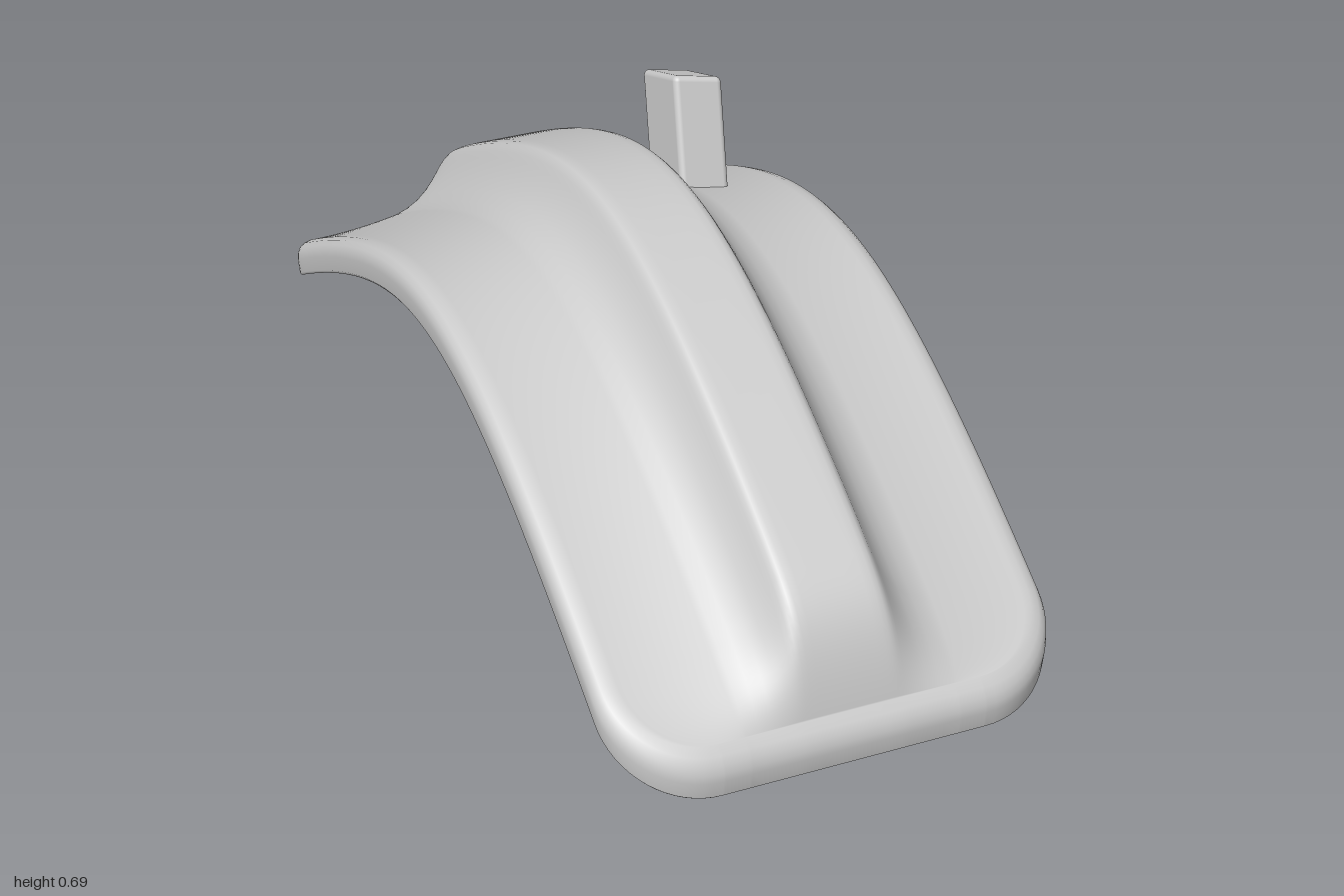
import * as THREE from 'three';
import { RoundedBoxGeometry } from 'three/addons/geometries/RoundedBoxGeometry.js';

const material = new THREE.MeshStandardMaterial({ color: 0xcccccc, side: THREE.DoubleSide });

// Ridge cross-section: [distance from the middle, share of the ridge height]
const RIDGE = [
  [0, 1], [0.03, 1], [0.06, 1], [0.075, 0.995], [0.085, 0.975], [0.092, 0.93], [0.098, 0.87],
  [0.105, 0.78], [0.115, 0.655], [0.13, 0.5], [0.15, 0.345], [0.175, 0.225], [0.2, 0.15],
];
const FLANGE = 14;   // columns from the ridge foot to the side edge
const STRAIGHT = 60; // rows along the straight sides
const CORNER = 16;   // rows in each rounded corner
const HALF = RIDGE.length - 1 + FLANGE;
const COLS = 2 * HALF;
const ROWS = STRAIGHT + 2 * CORNER;

// Height of the lower rim along the arch
const arch = (z) => 0.415 + 0.383 - Math.sqrt(0.383 ** 2 + (0.7 * z) ** 2);

// Point of a layer: outline drawn in by inset, lifted above the rim by lift
function layerPoint(i, j, { inset, lift, scale = 1, ridge = 0.155 }) {
  const cornerX = 0.18, cornerZ = 0.16;
  const row = j - ROWS / 2, side = Math.sign(row), n = Math.abs(row);
  const angle = Math.max(0, (n - STRAIGHT / 2) / CORNER) * Math.PI / 2;
  const z = (1 - cornerZ) * Math.min(1, n / (STRAIGHT / 2)) + (cornerZ - inset) * Math.sin(angle);
  const width = 0.435 - cornerX + (cornerX - inset) * Math.cos(angle);

  const col = i - HALF, k = Math.abs(col), last = RIDGE.length - 1;
  let x, h;
  if (k <= last) {
    x = RIDGE[k][0] * scale;
    h = RIDGE[k][1];
  } else {
    const t = (k - last) / FLANGE, foot = RIDGE[last][0] * scale;
    x = foot + (width - foot) * t;
    h = RIDGE[last][1] * (1 - t) ** 2;
  }
  const fade = 1 - (z / (1 - inset)) ** 26;
  return [Math.sign(col) * x, arch(z) + lift + ridge * h * fade, side * z];
}

// Closed shell: top skin, rolled rim made of loops, hollow underside
function shellGeometry() {
  const positions = [], index = [];
  const edge = [];
  for (let i = 0; i < COLS; i++) edge.push([i, 0]);
  for (let j = 0; j < ROWS; j++) edge.push([COLS, j]);
  for (let i = COLS; i > 0; i--) edge.push([i, ROWS]);
  for (let j = ROWS; j > 0; j--) edge.push([0, j]);

  const skin = (layer, flip) => {
    const start = positions.length / 3;
    const at = (i, j) => start + j * (COLS + 1) + i;
    for (let j = 0; j <= ROWS; j++)
      for (let i = 0; i <= COLS; i++) positions.push(...layerPoint(i, j, layer));
    for (let j = 0; j < ROWS; j++)
      for (let i = 0; i < COLS; i++) {
        const a = at(i, j), b = at(i, j + 1), c = at(i + 1, j + 1), d = at(i + 1, j);
        if (flip) index.push(a, c, b, a, d, c);
        else index.push(a, b, c, a, c, d);
      }
    return edge.map(([i, j]) => at(i, j));
  };
  const loop = (layer) => edge.map(([i, j]) => {
    positions.push(...layerPoint(i, j, layer));
    return positions.length / 3 - 1;
  });

  const rings = [skin({ inset: 0.03, lift: 0.081 }, false)];
  const rim = [
    [0.015, 0.076], [0.006, 0.067], [0.001, 0.055], [0, 0.04], [0.003, 0.006],
    [0.007, 0], [0.022, 0], [0.026, 0.004], [0.029, 0.03],
  ];
  for (const [inset, lift] of rim) rings.push(loop({ inset, lift }));
  rings.push(skin({ inset: 0.036, lift: 0.045, scale: 0.82 }, true));

  for (let r = 0; r < rings.length - 1; r++)
    edge.forEach((_, k) => {
      const n = (k + 1) % edge.length;
      const a = rings[r][k], b = rings[r][n], c = rings[r + 1][k], d = rings[r + 1][n];
      index.push(a, b, c, b, d, c);
    });

  const geometry = new THREE.BufferGeometry();
  geometry.setAttribute('position', new THREE.Float32BufferAttribute(positions, 3));
  geometry.setIndex(index);
  geometry.computeVertexNormals();
  return geometry;
}

// Upright lug with a top that slopes down to the outer side
function lugGeometry() {
  const geometry = new RoundedBoxGeometry(0.102, 0.24, 0.178, 4, 0.012);
  const p = geometry.attributes.position;
  for (let i = 0; i < p.count; i++)
    if (p.getY(i) > 0) p.setY(i, p.getY(i) - 0.12 * p.getX(i));
  return geometry;
}

export function createModel() {
  const group = new THREE.Group();
  group.name = 'archedGuard';

  const shell = new THREE.Mesh(shellGeometry(), material);
  shell.name = 'ridgedShell';
  group.add(shell);

  const lug = new THREE.Mesh(lugGeometry(), material);
  lug.name = 'mountingLug';
  lug.position.set(0.244, 0.543, -0.352);
  lug.rotation.set(-0.36, 0, -0.07);
  group.add(lug);

  return group;
}
